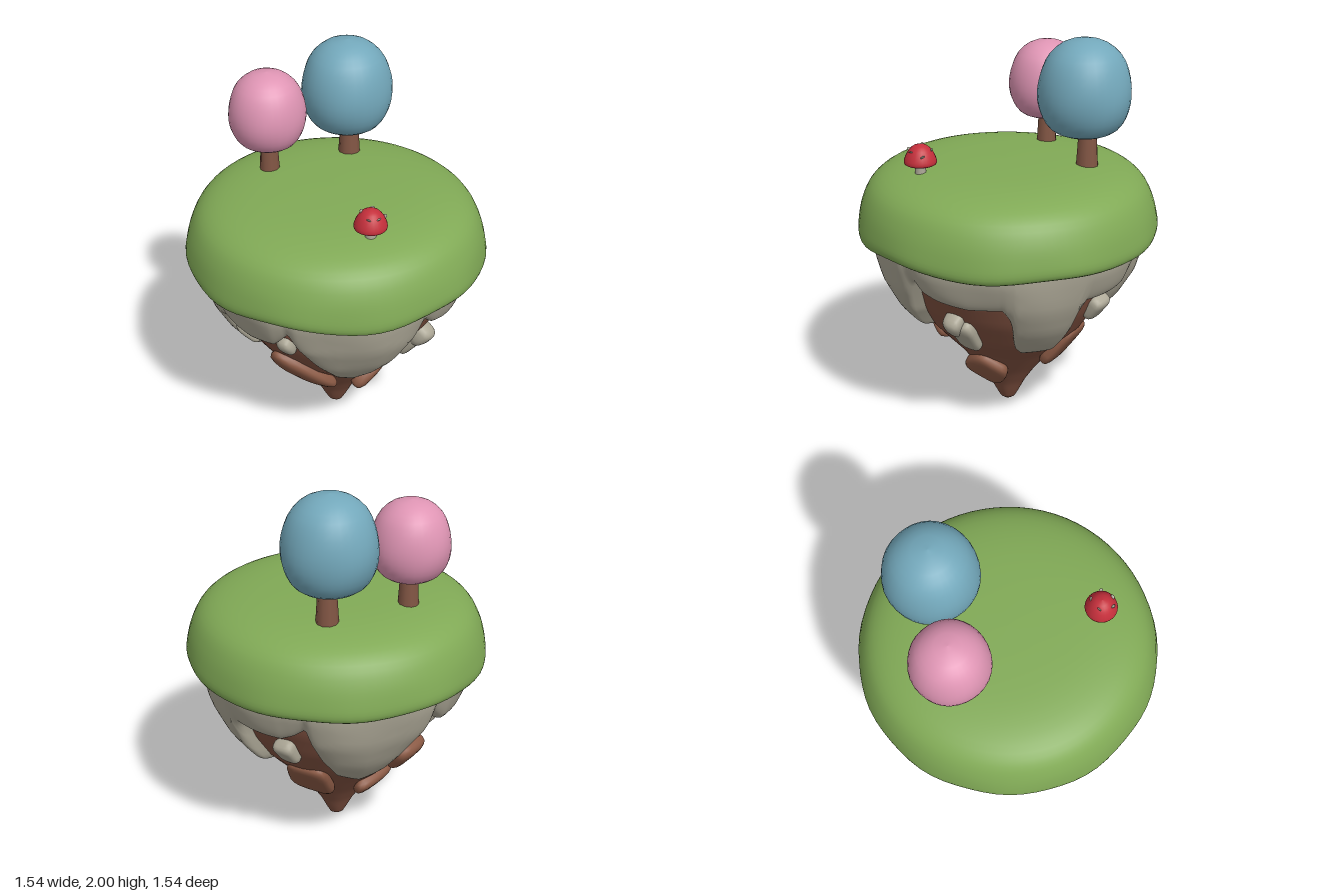
import * as THREE from 'three';
import { mergeVertices } from 'three/addons/utils/BufferGeometryUtils.js';

const mat = (name, color) => Object.assign(new THREE.MeshStandardMaterial({ color }), { name });

// Linear interpolation through a list of [key, value] pairs
function lookup(table, k) {
  for (let i = 1; i < table.length; i++) {
    const [a, va] = table[i - 1], [b, vb] = table[i];
    if (k <= b) return va + (vb - va) * Math.max(0, (k - a) / (b - a));
  }
  return table[table.length - 1][1];
}

// Closed ring surface, rows running from top to bottom; fn(s, angle) gives [radius, y]
function ringSurface(rows, cols, fn) {
  const pos = [], idx = [];
  for (let i = 0; i <= rows; i++) {
    for (let j = 0; j < cols; j++) {
      const phi = (j / cols) * Math.PI * 2;
      const [r, y] = fn(i / rows, phi);
      pos.push(r * Math.sin(phi), y, r * Math.cos(phi));
      if (i === rows) continue;
      const a = i * cols + j, b = i * cols + (j + 1) % cols;
      idx.push(a, a + cols, b, b, a + cols, b + cols);
    }
  }
  const g = new THREE.BufferGeometry();
  g.setAttribute('position', new THREE.Float32BufferAttribute(pos, 3));
  g.setIndex(idx);
  g.computeVertexNormals();
  return g;
}

// Smooth profile curve from [radius, y] points
const profile = (pts) => new THREE.SplineCurve(pts.map(p => new THREE.Vector2(...p)));

// Uneven rounded block
function rockGeometry(w, h, d, seed) {
  let g = new THREE.IcosahedronGeometry(1, 3);
  g.deleteAttribute('uv');
  g.deleteAttribute('normal');
  g = mergeVertices(g, 1e-4);
  const p = g.attributes.position, v = new THREE.Vector3();
  const soft = c => Math.sign(c) * Math.abs(c) ** 0.7;
  for (let i = 0; i < p.count; i++) {
    v.fromBufferAttribute(p, i);
    const k = 0.94 + 0.07 * Math.sin(3 * v.x + seed) + 0.06 * Math.sin(4 * v.y + 2 * seed);
    p.setXYZ(i, soft(v.x) * k * w / 2, soft(v.y) * k * h / 2, soft(v.z) * k * d / 2);
  }
  g.computeVertexNormals();
  return g;
}

// Radius of the earth cone by height
const earthRadius = [[0, 0], [0.015, 0.035], [0.06, 0.06], [0.13, 0.095], [0.22, 0.155], [0.36, 0.265],
  [0.5, 0.4], [0.65, 0.5], [0.8, 0.568], [0.95, 0.6], [1.1, 0.61]];

// Lower edge of the stone layer by angle in degrees
const stoneEdge = [[0, 0.485], [10, 0.52], [20, 0.65], [30, 0.86], [33, 0.88], [38, 0.83], [45, 0.81],
  [60, 0.79], [76, 0.8], [80, 0.72], [82, 0.53], [87, 0.475], [107, 0.475], [110, 0.53], [112, 0.72],
  [115, 0.8], [140, 0.8], [146, 0.83], [152, 0.88], [158, 0.68], [166, 0.53], [180, 0.475], [194, 0.54],
  [205, 0.73], [213, 0.88], [222, 0.79], [235, 0.76], [248, 0.8], [254, 0.7], [259, 0.53], [268, 0.475],
  [278, 0.49], [284, 0.75], [290, 0.81], [307, 0.75], [320, 0.78], [328, 0.88], [339, 0.67], [350, 0.52],
  [360, 0.485]];

export function createModel() {
  const root = new THREE.Group();
  root.name = 'floatingIsland';
  const grass = mat('grass green', 0x81aa56);
  const stone = mat('stone grey', 0xada897);
  const earth = mat('earth brown', 0x805140);
  const rock = mat('rock brown', 0x8b5a45);
  const bark = mat('bark brown', 0x825644);
  const pink = mat('blossom pink', 0xdf95b4);
  const blue = mat('leaf blue', 0x73a8bb);
  const red = mat('cap red', 0xc42f3b);

  const add = (parent, name, geo, material, x = 0, y = 0, z = 0) => {
    const m = new THREE.Mesh(geo, material);
    m.name = name;
    m.position.set(x, y, z);
    parent.add(m);
    return m;
  };

  // Earth cone
  add(root, 'earthCone', ringSurface(40, 64, (s, a) => {
    const y = 1.1 * (1 - s) ** 1.3;
    const wobble = 1 + 0.015 * Math.sin(3 * a + 5 * y) + 0.012 * Math.sin(7 * a - 6 * y);
    return [lookup(earthRadius, y) * wobble, y];
  }), earth);

  // Stone layer with hanging tongues
  add(root, 'stoneLayer', ringSurface(18, 300, (s, a) => {
    const edge = lookup(stoneEdge, THREE.MathUtils.radToDeg(a));
    const t = Math.sin(s * Math.PI / 2);
    const y = 1.08 + (edge - 1.08) * t;
    const thick = 0.096 - 0.2 * Math.max(0, edge - 0.8) + 0.005 * Math.sin(9 * a + 8 * y);
    const round = Math.max(0, Math.cos(s * Math.PI / 2)) ** 0.25;
    return [lookup(earthRadius, y) - 0.025 + (thick + 0.025) * round, y];
  }), stone);

  // Grass cushion with a gently waved rim
  const turf = profile([[0, 1.372], [0.25, 1.368], [0.45, 1.355], [0.6, 1.322], [0.69, 1.265], [0.738, 1.18],
    [0.762, 1.09], [0.767, 1.03], [0.745, 0.998], [0.68, 0.985], [0.56, 1.0]]);
  add(root, 'grassTop', ringSurface(30, 72, (s, a) => {
    const p = turf.getPoint(s);
    const low = THREE.MathUtils.smoothstep(1.2 - p.y, 0, 0.2);
    const wave = 0.008 * Math.cos(6 * a) + 0.006 * Math.sin(5 * a + 1);
    return [p.x * (1 + 0.002 * Math.sin(5 * a + 2) + 0.004 * low * Math.sin(11 * a)), p.y - wave * low];
  }), grass);

  // Blocks set into the cone: angle, height, width, length, depth, roll
  const embed = (name, material, list) => list.forEach(([deg, y, w, h, d, roll], i) => {
    const a = THREE.MathUtils.degToRad(deg), r = lookup(earthRadius, y) + 0.005;
    const m = add(root, name + (i + 1), rockGeometry(w, h, d, i * 1.7 + deg), material,
      r * Math.sin(a), y, r * Math.cos(a));
    m.lookAt(m.position.x + Math.sin(a), y - 0.75, m.position.z + Math.cos(a));
    m.rotateZ(roll);
  });
  embed('earthBlock', rock, [
    [-37, 0.48, 0.19, 0.42, 0.09, 0.75],
    [47, 0.275, 0.22, 0.24, 0.1, -0.7],
    [140, 0.41, 0.25, 0.3, 0.09, -0.1],
    [221, 0.295, 0.27, 0.16, 0.09, 0.1],
    [216, 0.575, 0.23, 0.2, 0.11, 0.1],
  ]);
  embed('pebble', stone, [
    [-37, 0.745, 0.1, 0.14, 0.08, 0.1],
    [-71, 0.67, 0.09, 0.17, 0.09, 0.2],
    [47, 0.655, 0.11, 0.15, 0.13, -0.2],
    [51, 0.575, 0.14, 0.24, 0.09, 0],
    [137, 0.67, 0.13, 0.16, 0.1, 0.1],
  ]);

  // Trees: tapered trunk and egg-shaped crown
  const egg = profile([[0, 1], [0.42, 0.96], [0.76, 0.83], [0.94, 0.64], [1, 0.43], [0.93, 0.24],
    [0.74, 0.09], [0.42, 0.015], [0, 0]]);
  const tree = (name, leaf, x, z, radius, bottom, top, trunk, trunkX, trunkZ) => {
    const g = new THREE.Group();
    g.name = name;
    g.position.set(x, 0, z);
    root.add(g);
    add(g, name + 'Trunk', new THREE.CylinderGeometry(trunk * 0.75, trunk, 0.24, 10), bark, trunkX, 1.46, trunkZ);
    add(g, name + 'Crown', ringSurface(20, 32, (s, a) => {
      const p = egg.getPoint(s);
      const k = 1 + 0.005 * Math.sin(3 * a + 6 * p.y) + 0.005 * Math.sin(5 * a - 9 * p.y);
      return [p.x * radius * k, bottom + p.y * (top - bottom)];
    }), leaf);
  };
  tree('pinkTree', pink, -0.3, -0.27, 0.197, 1.49, 1.9, 0.053, 0.005, 0);
  tree('blueTree', blue, 0.125, -0.36, 0.234, 1.507, 2.0, 0.058, 0.017, -0.015);

  // Mushroom
  const mushroom = new THREE.Group();
  mushroom.name = 'mushroom';
  mushroom.position.set(0.08, 1.337, 0.458);
  root.add(mushroom);
  add(mushroom, 'mushroomStem', new THREE.CylinderGeometry(0.024, 0.029, 0.1, 10), stone, 0, 0.05, 0);
  const cap = profile([[0, 0.163], [0.035, 0.153], [0.062, 0.125], [0.08, 0.085], [0.078, 0.062],
    [0.05, 0.06], [0, 0.068]]);
  add(mushroom, 'mushroomCap', ringSurface(14, 24, (s) => cap.getPoint(s).toArray()), red);
  // Cap spots, flattened against the cap: angle and place along its profile
  [[2.8, 0.29], [4.35, 0.22], [5.9, 0.29], [0.5, 0.3], [1.6, 0.38]].forEach(([a, s], i) => {
    const p = cap.getPoint(s), n = cap.getTangent(s);
    const dot = add(mushroom, 'capSpot' + (i + 1), new THREE.SphereGeometry(0.012, 10, 8), stone,
      p.x * Math.sin(a), p.y, p.x * Math.cos(a));
    dot.scale.z = 0.35;
    dot.lookAt(dot.position.x - n.y * Math.sin(a), dot.position.y + n.x, dot.position.z - n.y * Math.cos(a));
  });

  return root;
}
